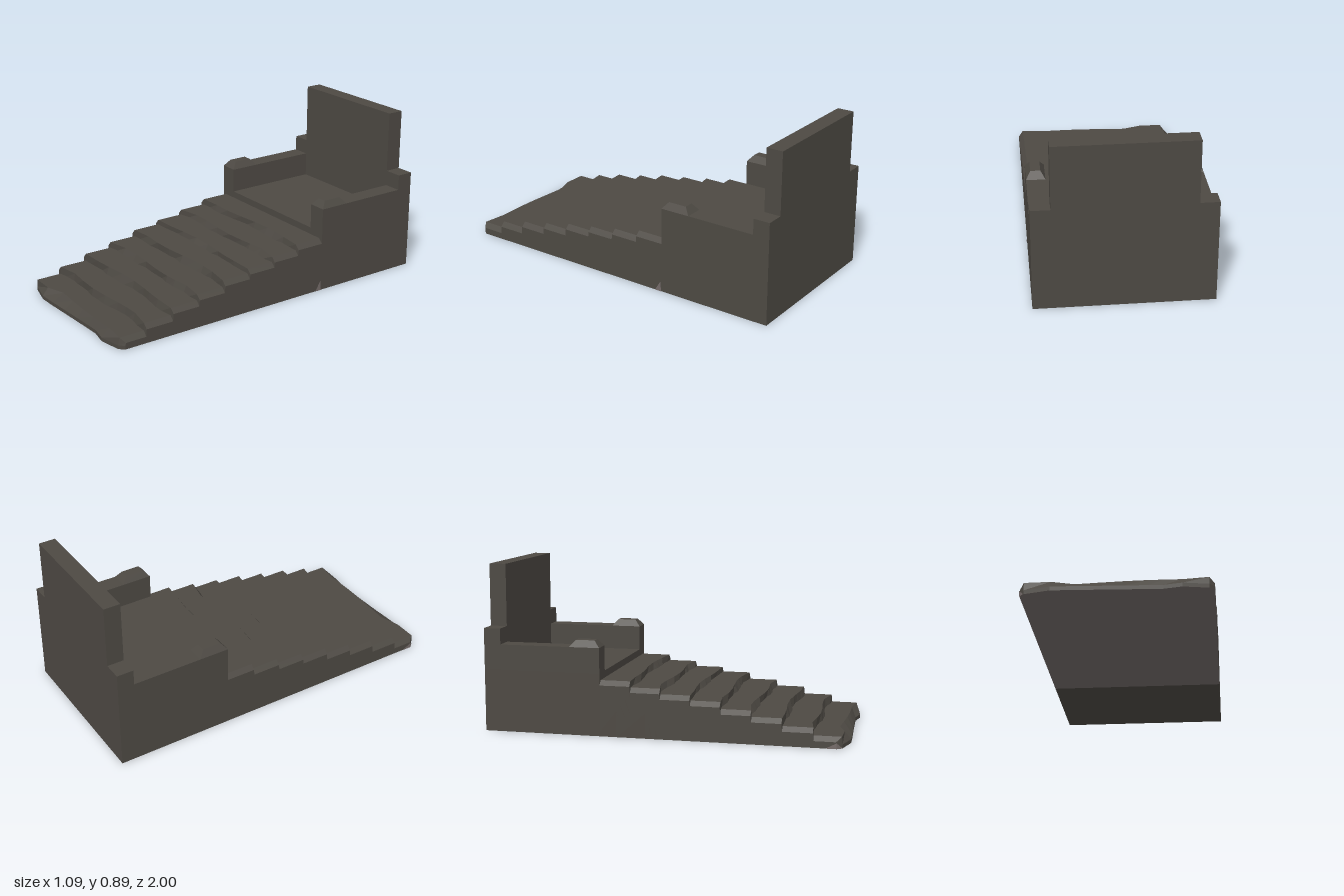
import * as THREE from 'three';

export function createModel() {
  const stone = new THREE.MeshStandardMaterial({ color: 0x4d4943 });
  stone.name = 'dark stone';
  const pale = new THREE.MeshStandardMaterial({ color: 0x746b69 });
  pale.name = 'pale stone';

  const model = new THREE.Group();
  model.name = 'steppedThrone';
  model.rotation.y = -0.094;

  const HALF = 0.46, BACK = -0.961, SEAT_FRONT = -0.324;

  function add(name, geometry, material = stone) {
    const mesh = new THREE.Mesh(geometry, material);
    mesh.name = name;
    model.add(mesh);
    return mesh;
  }
  // box given by its limits on each axis
  function block(name, x0, x1, y0, y1, z0, z1) {
    const g = new THREE.BoxGeometry(x1 - x0, y1 - y0, z1 - z0);
    g.translate((x0 + x1) / 2, (y0 + y1) / 2, (z0 + z1) / 2);
    return add(name, g);
  }
  function fromTriangles(points) {
    const g = new THREE.BufferGeometry();
    g.setAttribute('position', new THREE.Float32BufferAttribute(points.flat(), 3));
    g.computeVertexNormals();
    return g;
  }

  // seat and backrest
  block('seat', -HALF, HALF, 0, 0.335, BACK, SEAT_FRONT);
  block('backrestBase', -HALF, HALF, 0.335, 0.555, BACK, -0.87);
  block('backrestPanel', -0.36, 0.36, 0.555, 0.89, BACK, -0.87);

  // arms with bevelled caps at the front
  for (const [side, name] of [[1, 'left'], [-1, 'right']]) {
    const a = side * HALF, b = side * 0.36;
    block(name + 'Arm', Math.min(a, b), Math.max(a, b), 0.335, 0.47, -0.87, SEAT_FRONT);
    const cap = new THREE.BoxGeometry(0.1, 0.036, 0.165);
    const p = cap.attributes.position;
    for (let i = 0; i < p.count; i++) {
      if (p.getY(i) > 0) p.setXYZ(i, p.getX(i) * 0.52, p.getY(i), p.getZ(i) * 0.62);
    }
    const flat = cap.toNonIndexed();
    flat.computeVertexNormals();
    flat.translate(side * 0.41, 0.488, SEAT_FRONT - 0.0825);
    add(name + 'ArmCap', flat);
  }

  // worn steps: each is lofted across the width, with wavy edges and chipped ends
  const columns = [-HALF, -0.437, -0.31, -0.2, -0.08, 0.04, 0.15, 0.22, 0.31, 0.435, HALF];
  const last = columns.length - 1;
  const tops = [0.06, 0.1, 0.14, 0.173, 0.21, 0.236, 0.265, 0.297];
  const baseLow = [0.918, 0.946, 0.978, 0.974, 0.968, 0.962, 0.957, 0.954, 0.972, 0.949, 0.922];
  const baseHigh = [0.915, 0.943, 0.945, 0.91, 0.918, 0.925, 0.928, 0.927, 0.925, 0.94, 0.918];

  tops.forEach((top, k) => {
    const front = 0.955 - 0.16 * k;
    const back = k === tops.length - 1 ? SEAT_FRONT - 0.02 : front - 0.23;
    const foot = k === 0 ? 0.02 : tops[k - 1] - 0.03;
    const rings = columns.map((x, i) => {
      const end = i === 0 || i === last;
      const edge = end || i === 1 || i === last - 1;
      const wave = Math.sin(x * 9 + k * 2.3);
      let high = front + (edge ? 0.002 : -0.012 + 0.012 * wave);
      let low = front + (edge ? 0.006 : 0.008 + 0.016 * Math.sin(x * 13 + k * 1.7));
      if (k === 0) [low, high] = [baseLow[i], baseHigh[i]];
      const y = end ? top - 0.025 : top;
      low = Math.max(low, high);
      return [[x, 0, low], [x, foot, low], [x, y, high], [x, y, back], [x, 0, back]];
    });
    const tris = [];
    for (let i = 0; i < last; i++) {
      for (let j = 0; j < 3; j++) {
        const a = rings[i][j], b = rings[i + 1][j], c = rings[i + 1][j + 1], d = rings[i][j + 1];
        tris.push(a, b, c, a, c, d);
      }
    }
    // side faces
    const l = rings[0], r = rings[last];
    for (let j = 1; j < 4; j++) {
      tris.push(l[4], l[j - 1], l[j]);
      tris.push(r[4], r[j], r[j - 1]);
    }
    add('step' + (k + 1), fromTriangles(tris));
  });

  // pale underside beneath the steps
  const outline = new THREE.Shape([
    new THREE.Vector2(-HALF, SEAT_FRONT),
    new THREE.Vector2(HALF, SEAT_FRONT),
    ...columns.map((x, i) => new THREE.Vector2(x, baseLow[i])).reverse(),
  ]);
  add('stepsUnderside', new THREE.ShapeGeometry(outline).rotateX(Math.PI / 2), pale);

  // small pale chips on the side and front corner
  add('sideChip', fromTriangles([
    [0.462, 0, -0.285], [0.462, 0, SEAT_FRONT], [0.462, 0.055, -0.318],
  ]), pale);
  add('cornerChip', fromTriangles([
    [-0.462, 0, 0.919], [-0.439, 0, 0.948], [-0.462, 0.03, 0.919],
    [-0.462, 0, 0.86], [-0.462, 0, 0.919], [-0.462, 0.03, 0.919],
  ]), pale);

  const group = new THREE.Group();
  group.add(model);
  return group;
}
